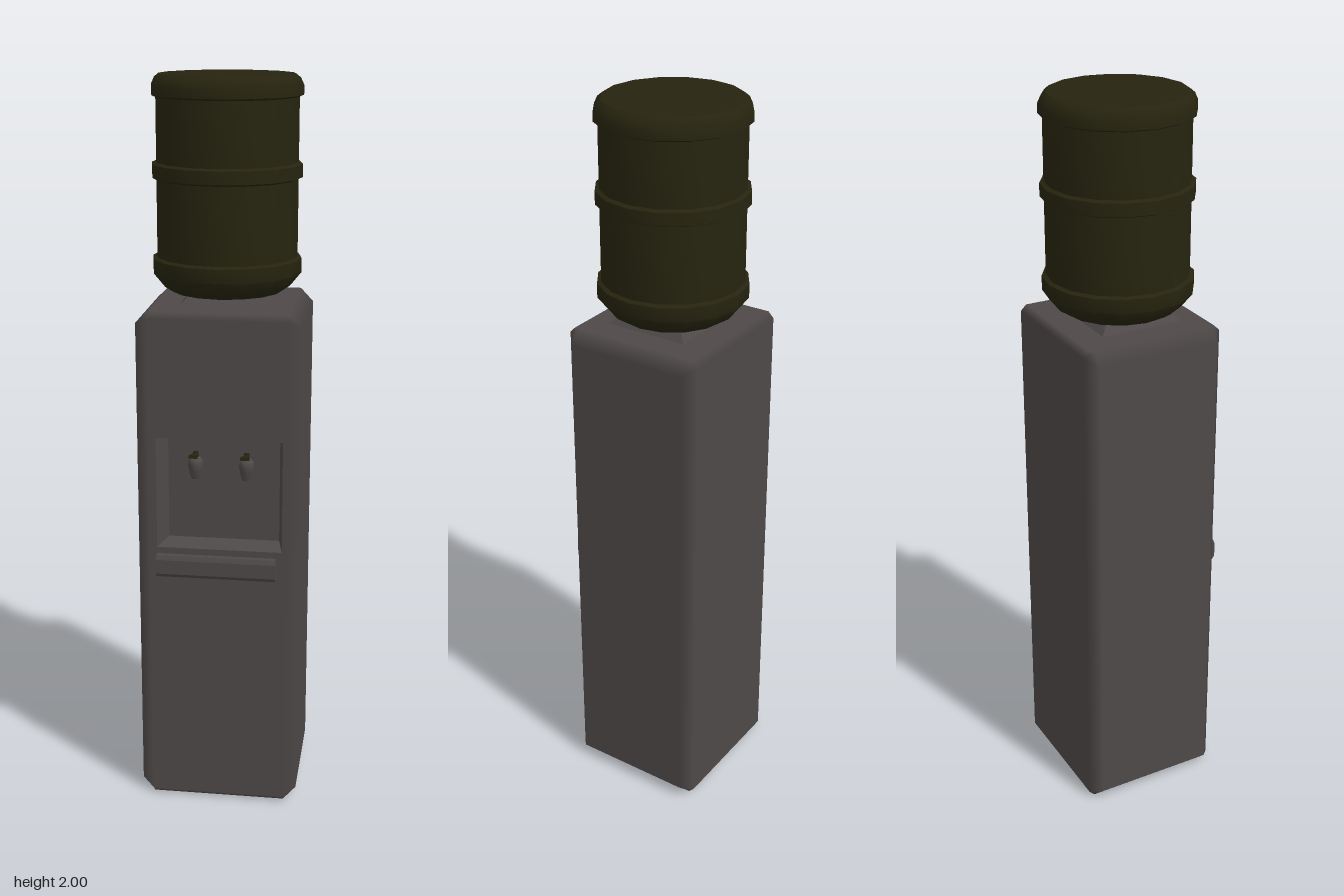
import * as THREE from 'three';
import { toCreasedNormals } from 'three/addons/utils/BufferGeometryUtils.js';

const FRONT = 0.186, BACK = -0.211, HX = 0.22, FX = 0.185, TOP = 1.408;

// Flat four-cornered faces, corners counter-clockwise from outside
function quads(list) {
  const pos = [];
  for (const q of list) for (const i of [0, 1, 2, 0, 2, 3]) pos.push(...q[i]);
  const g = new THREE.BufferGeometry();
  g.setAttribute('position', new THREE.Float32BufferAttribute(pos, 3));
  g.computeVertexNormals();
  return g;
}

// Chamfered cabinet: four octagonal rings; each corner keeps the normal of its main face
function cabinetShell() {
  const pos = [], nor = [], idx = [];
  const cut = 0.028;
  const outline = [
    [-FX, FRONT, 0, 1], [FX, FRONT, 0, 1], [HX, FRONT - cut, 1, 0], [HX, BACK + cut, 1, 0],
    [FX, BACK, 0, -1], [-FX, BACK, 0, -1], [-HX, BACK + cut, -1, 0], [-HX, FRONT - cut, -1, 0],
  ];
  for (let r = 0; r < 4; r++) {
    for (const [x, z, nx, nz] of outline) {
      const drop = nz ? 0.016 : 0.034;
      if (r === 0 || r === 3) {
        pos.push(Math.sign(x) * FX, r ? TOP : 0, z - nz * 0.016);
        nor.push(0, r ? 1 : -1, 0);
      } else {
        pos.push(x, r === 1 ? drop : TOP - drop, z);
        nor.push(nx, 0, nz);
      }
    }
  }
  for (let r = 0; r < 3; r++) {
    for (let i = 0; i < 8; i++) {
      if (r === 1 && i === 0) continue; // front panel is a separate mesh
      const j = (i + 1) % 8, a = r * 8 + i, b = r * 8 + j;
      idx.push(a, b, b + 8, a, b + 8, a + 8);
    }
  }
  for (let i = 1; i < 7; i++) idx.push(0, i + 1, i, 24, 24 + i, 25 + i);
  const g = new THREE.BufferGeometry();
  g.setAttribute('position', new THREE.Float32BufferAttribute(pos, 3));
  g.setAttribute('normal', new THREE.Float32BufferAttribute(nor, 3));
  g.setIndex(idx);
  return g;
}

const rect = (x0, x1, y0, y1) => [[x0, y0], [x1, y0], [x1, y1], [x0, y1]];
const lathe = (points, sides, crease) => toCreasedNormals(
  new THREE.LatheGeometry(points.map(([r, y]) => new THREE.Vector2(r, y)), sides), crease);

export function createModel() {
  const model = new THREE.Group();
  const grey = new THREE.MeshStandardMaterial({ color: 0x4e4948 });
  grey.name = 'warm grey plastic';
  const olive = new THREE.MeshStandardMaterial({ color: 0x26240f });
  olive.name = 'dark olive plastic';

  const add = (name, geometry, material, parent = model) => {
    const mesh = new THREE.Mesh(geometry, material);
    mesh.name = name;
    parent.add(mesh);
    return mesh;
  };

  // Cabinet and front panel with the dispensing opening
  add('cabinet', cabinetShell(), grey);
  const rim = rect(-0.165, 0.175, 0.76, 1.07), inner = rect(-0.14, 0.163, 0.775, 1.062);
  const toVec = ([x, y]) => new THREE.Vector2(x, y);
  const panel = new THREE.Shape(rect(-FX, FX, 0.016, TOP - 0.016).map(toVec));
  panel.holes.push(new THREE.Path(rim.map(toVec)));
  add('frontPanel', new THREE.ShapeGeometry(panel), grey).position.z = FRONT;

  // Recess walls and back
  const depth = 0.136;
  const faces = rim.map((p, i) => {
    const j = (i + 1) % 4;
    return [[...p, FRONT], [...rim[j], FRONT], [...inner[j], depth], [...inner[i], depth]];
  });
  faces.push(inner.map((p) => [...p, depth]));
  add('recess', quads(faces), grey);

  // Drip tray, a side profile extruded across the front
  const trayProfile = new THREE.Shape([
    [0.18, 0.68], [0.2, 0.68], [0.207, 0.69], [0.207, 0.73], [0.202, 0.742], [0.18, 0.742],
  ].map(([z, y]) => new THREE.Vector2(-z, y)));
  const tray = new THREE.ExtrudeGeometry(trayProfile, { depth: 0.325, bevelEnabled: false });
  tray.rotateY(Math.PI / 2);
  tray.translate(-0.165, 0, 0);
  add('dripTray', tray, grey);

  // Two taps with push levers
  for (const x of [-0.06, 0.077]) {
    const tap = new THREE.Group();
    tap.name = 'tap';
    tap.position.set(x, 0, 0.168);
    model.add(tap);
    add('spout', lathe([[0, 0.955], [0.012, 0.957], [0.017, 0.975], [0.021, 0.995],
      [0.019, 1.008], [0.009, 1.018], [0, 1.02]], 10, 0.8), grey, tap);
    const stem = add('tapStem', new THREE.CylinderGeometry(0.01, 0.01, 0.036, 8), grey, tap);
    stem.rotation.x = Math.PI / 2;
    stem.position.set(0, 1, -0.016);
    add('leverPost', new THREE.CylinderGeometry(0.007, 0.009, 0.02, 8), olive, tap).position.y = 1.021;
    const blade = new THREE.BoxGeometry(0.024, 0.008, 0.05);
    const p = blade.attributes.position;
    for (let i = 0; i < p.count; i++) if (p.getZ(i) < 0) p.setX(i, p.getX(i) * 0.4);
    const lever = add('lever', blade, olive, tap);
    lever.position.set(0, 1.026, 0.019);
    lever.rotation.x = -0.12;
  }

  // Square collar under the bottle
  const collar = new THREE.CylinderGeometry(0.085 * Math.SQRT2, 0.117 * Math.SQRT2, 0.034, 4).toNonIndexed();
  collar.rotateY(Math.PI / 4);
  collar.computeVertexNormals();
  add('bottleCollar', collar, grey).position.set(0, TOP + 0.016, -0.005);

  // Bottle with three raised bands
  const bottle = lathe([
    [0, 1.435], [0.15, 1.437], [0.17, 1.45], [0.2, 1.487], [0.2, 1.525], [0.189, 1.53],
    [0.189, 1.733], [0.2, 1.738], [0.2, 1.772], [0.189, 1.777],
    [0.189, 1.943], [0.2, 1.948], [0.2, 1.972], [0.192, 1.99], [0.18, 2], [0, 2],
  ], 16, 0.7);
  add('waterBottle', bottle, olive).position.z = -0.013;

  return model;
}
